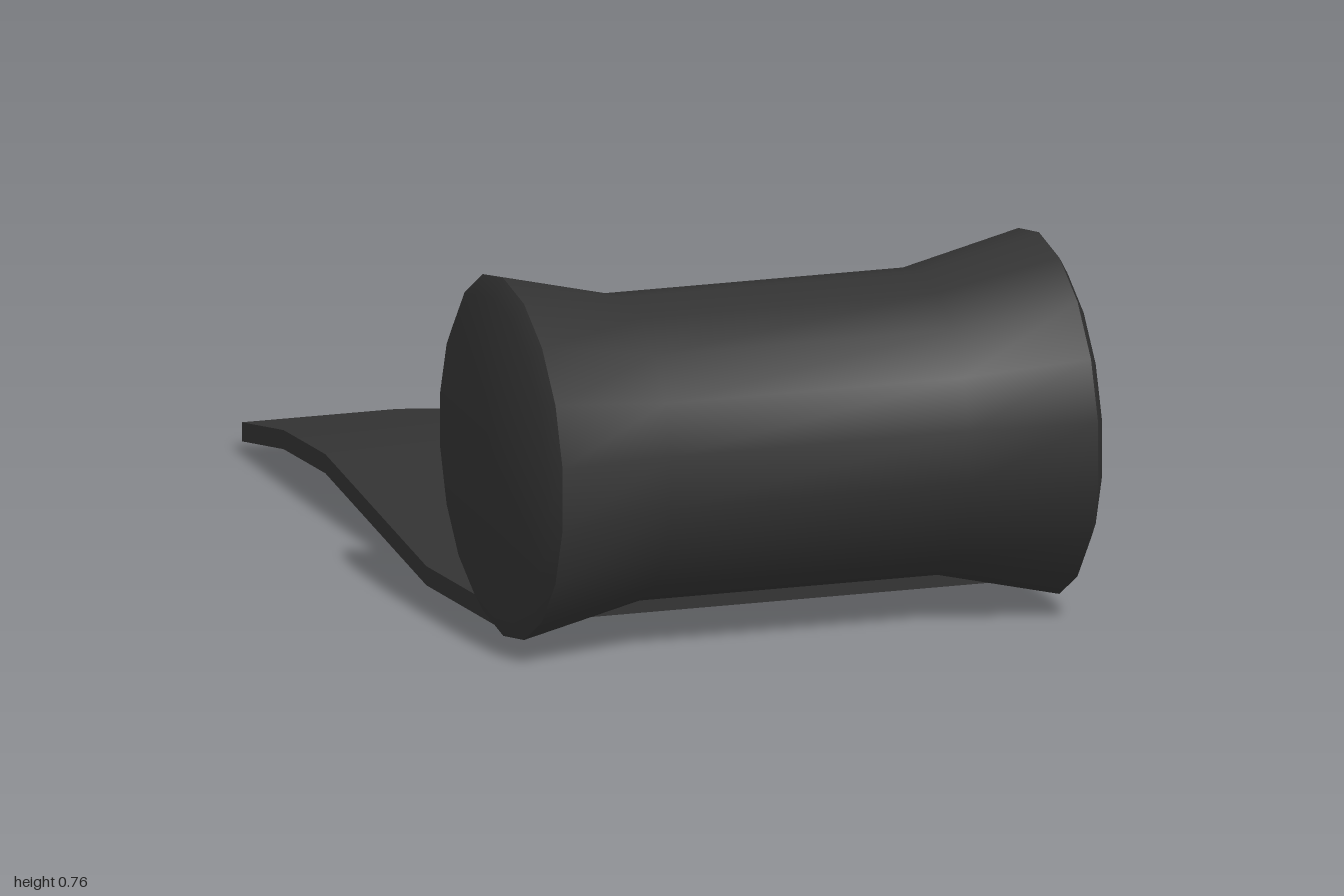
import * as THREE from 'three';
import { toCreasedNormals } from 'three/addons/utils/BufferGeometryUtils.js';

const CREASE = THREE.MathUtils.degToRad(35);
const material = new THREE.MeshStandardMaterial({ color: 0x333333 });

// Rolled part: 18-sided barrel with flared, chamfered ends, lying along x
function makeRoll() {
  const half = [[0.315, 0.32], [0.375, 0.575], [0.335, 0.597], [0, 0.597]];
  const profile = [
    ...half.slice().reverse().map(([r, x]) => new THREE.Vector2(r, -x)),
    ...half.map(([r, x]) => new THREE.Vector2(r, x)),
  ];
  const geometry = new THREE.LatheGeometry(profile, 18, Math.PI / 2);
  geometry.rotateZ(-Math.PI / 2);
  const roll = new THREE.Mesh(toCreasedNormals(geometry, CREASE), material);
  roll.name = 'roll';
  roll.position.set(0, 0.39, 0.63);
  return roll;
}

// Unrolled part: a wavy slab whose far end is cut at a slant
function makeSheet() {
  const thickness = 0.04;
  const columns = [-0.575, -0.24, 0.15, 0.568];
  const endZ = [-1, -1, -0.88, -0.72];
  const ridgeZ = -0.48;
  // Rows run from the far end to the edge under the roll
  const bottomY = [0.025, 0.072, 0.085, 0.004, 0.025];

  const geometry = new THREE.BoxGeometry(3, 1, 4, 3, 1, 4);
  const p = geometry.attributes.position;
  for (let i = 0; i < p.count; i++) {
    const c = Math.round(p.getX(i) + 1.5);
    const r = Math.round(p.getZ(i) + 2);
    const z = [endZ[c], (endZ[c] + ridgeZ) / 2, ridgeZ, 0.15, 0.58][r];
    const y = bottomY[r] + (p.getY(i) > 0 ? thickness : 0);
    p.setXYZ(i, columns[c], y, z);
  }
  const sheet = new THREE.Mesh(toCreasedNormals(geometry, CREASE), material);
  sheet.name = 'sheet';
  return sheet;
}

export function createModel() {
  const model = new THREE.Group();
  model.name = 'rolledMat';
  model.add(makeRoll(), makeSheet());
  return model;
}
